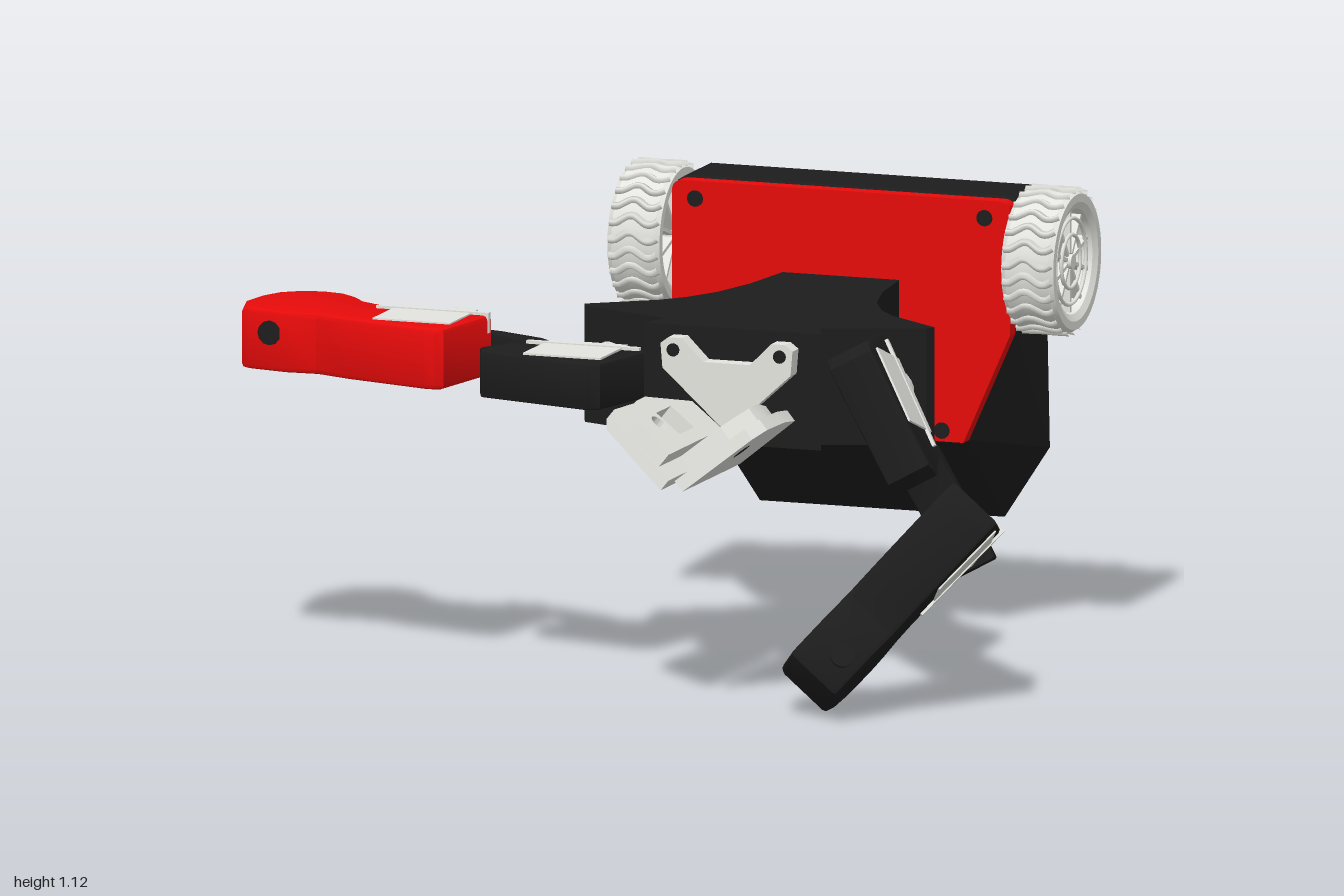
import * as THREE from 'three';
import { toCreasedNormals } from 'three/addons/utils/BufferGeometryUtils.js';
import { ConvexGeometry } from 'three/addons/geometries/ConvexGeometry.js';

const mat = (name, color) => Object.assign(new THREE.MeshStandardMaterial({ color }), { name });
const CX = 0.295; // centre line of the chassis

export function createModel() {
  const black = mat('black plastic', 0x1d1d1d);
  const red = mat('red plastic', 0xee0b0b);
  const grey = mat('light grey', 0xe4e4df);
  const root = new THREE.Group();
  root.name = 'robot';

  function add(parent, name, geo, material, x = 0, y = 0, z = 0) {
    const m = new THREE.Mesh(geo, material);
    m.name = name;
    m.position.set(x, y, z);
    parent.add(m);
    return m;
  }
  const box = (w, h, d) => new THREE.BoxGeometry(w, h, d);
  const disc = (r, len, n = 24) => new THREE.CylinderGeometry(r, r, len, n);
  const hole = (x, y, r) => new THREE.Path().absarc(x, y, r, 0, Math.PI * 2, true);

  // Horizontal slab from an (x, z) outline, rising from y = 0
  function slab(points, height, bevel = 0, holes = []) {
    const shape = new THREE.Shape(points.map(([x, z]) => new THREE.Vector2(x, -z)));
    shape.holes.push(...holes);
    const geo = new THREE.ExtrudeGeometry(shape, {
      depth: height - 2 * bevel, bevelEnabled: bevel > 0, bevelSize: bevel,
      bevelThickness: bevel, bevelOffset: -bevel, bevelSegments: 2, curveSegments: 16,
    });
    geo.translate(0, 0, bevel);
    geo.rotateX(-Math.PI / 2);
    return toCreasedNormals(geo, 0.5);
  }

  // Rear wedge housing
  const pts = [];
  for (const s of [-1, 1]) {
    for (const [dx, y, z] of [[0.435, 1.1, -0.48], [0.435, 0.78, -0.48], [0.315, 0.51, -0.48],
      [0.42, 1.11, -0.5], [0.42, 1.11, -0.67], [0.435, 1.09, -0.68], [0.435, 0.46, -0.715], [0.315, 0.28, -0.725]])
      pts.push(new THREE.Vector3(CX + s * dx, y, z));
  }
  add(root, 'rearHousing', new ConvexGeometry(pts), black);
  for (const x of [-0.12, 0.12]) for (const y of [0.64, 0.88]) {
    const bolt = add(root, 'rearBolt', disc(0.025, 0.006, 16), black, CX + x, y, -0.68 - (1.11 - y) * 0.054);
    bolt.rotation.x = Math.PI / 2;
  }

  // Red front plate with rounded top corners
  const plate = new THREE.Shape();
  plate.moveTo(-0.315, 0.51);
  plate.lineTo(0.315, 0.51);
  plate.lineTo(0.435, 0.78);
  plate.lineTo(0.435, 1.08);
  plate.quadraticCurveTo(0.435, 1.108, 0.405, 1.108);
  plate.lineTo(-0.405, 1.108);
  plate.quadraticCurveTo(-0.435, 1.108, -0.435, 1.08);
  plate.lineTo(-0.435, 0.78);
  add(root, 'frontPlate', new THREE.ExtrudeGeometry(plate, { depth: 0.04, bevelEnabled: false }), red, CX, 0, -0.48);
  for (const [x, y] of [[-0.08, 1.065], [0.665, 1.065], [0.105, 0.537], [0.555, 0.537]])
    add(root, 'plateScrew', disc(0.02, 0.006, 16), black, x, y, -0.439).rotation.x = Math.PI / 2;

  // Flared torso
  const half = [[0.15, -0.44], [0.17, -0.27], [0.205, -0.14], [0.25, -0.05], [0.3, 0.01], [0.45, 0.12],
    [0.44, 0.145], [0.2, 0.235], [0.228, 0.305]];
  const outline = [...half, ...half.map(([x, z]) => [-x, z]).reverse()];
  add(root, 'torso', slab(outline, 0.285), black, CX, 0.614, 0);

  // Wheels with wavy tread and spoked hub
  const tyre = toCreasedNormals(new THREE.LatheGeometry(
    [[0.128, -0.058], [0.145, -0.067], [0.165, -0.067], [0.172, -0.055], [0.172, 0.055], [0.165, 0.067],
      [0.145, 0.067], [0.128, 0.058], [0.128, -0.058]].map(([r, y]) => new THREE.Vector2(r, y)), 60), 0.4);
  const treadCurve = new THREE.CatmullRomCurve3([0, 1, 2, 3, 4, 5, 6, 7, 8].map(i => {
    const a = 0.06 * Math.sin(i * Math.PI / 3);
    return new THREE.Vector3(0.171 * Math.cos(a), -0.062 + i * 0.0155, 0.171 * Math.sin(a));
  }));
  const tread = new THREE.TubeGeometry(treadCurve, 16, 0.01, 4);
  for (const s of [-1, 1]) {
    const wheel = new THREE.Group();
    wheel.name = s > 0 ? 'leftWheel' : 'rightWheel';
    add(wheel, 'tyre', tyre, grey);
    add(wheel, 'wheelDisc', disc(0.13, 0.03, 48), grey);
    for (let i = 0; i < 26; i++) add(wheel, 'tread', tread, grey).rotation.y = i * Math.PI / 13;
    for (let i = 0; i < 10; i++) {
      const a = i * Math.PI / 5;
      add(wheel, 'spoke', box(0.105, 0.1, 0.009), grey, 0.0725 * Math.cos(a), 0, -0.0725 * Math.sin(a)).rotation.y = a;
    }
    for (const r of [0.105, 0.065])
      add(wheel, 'hubRing', new THREE.TorusGeometry(r, 0.005, 6, 40), grey, 0, -s * 0.05, 0).rotation.x = Math.PI / 2;
    add(wheel, 'hub', disc(0.018, 0.115, 16), grey);
    wheel.position.set(CX + s * 0.507, 0.955, -0.532);
    wheel.rotation.z = Math.PI / 2;
    root.add(wheel);
  }

  // Gripper bracket with two ears
  const ear = [[0, 0.65], [0.165, 0.8], [0.17, 0.86], [0.15, 0.875], [0.115, 0.875], [0.06, 0.82]];
  const bracket = new THREE.Shape([...ear, ...ear.slice(1).reverse().map(([x, y]) => [-x, y])]
    .map(p => new THREE.Vector2(...p)));
  add(root, 'gripperBracket', new THREE.ExtrudeGeometry(bracket, { depth: 0.045, bevelEnabled: false }), grey, CX, 0, 0.302);
  for (const s of [-1, 1])
    add(root, 'bracketScrew', disc(0.016, 0.006, 16), black, CX + s * 0.137, 0.845, 0.348).rotation.x = Math.PI / 2;

  // Two tilted jaws forming a V
  const tilt = 0.68, c = Math.cos(tilt);
  for (const s of [-1, 1]) {
    const jaw = new THREE.Group();
    jaw.name = s > 0 ? 'leftJaw' : 'rightJaw';
    const side = list => list.map(([x, z]) => [s * x / c, z]);
    const bore = () => hole(s * 0.128 / c, -0.585, 0.024);
    add(jaw, 'jawPlate', slab(side([[0.028, 0.33], [0.17, 0.33], [0.2, 0.48], [0.207, 0.62], [0.187, 0.67],
      [0.13, 0.69], [0.028, 0.725]]), 0.032, 0, [bore()]), grey);
    const window = new THREE.Path(side([[0.09, 0.45], [0.15, 0.45], [0.15, 0.55], [0.09, 0.55]])
      .map(([x, z]) => new THREE.Vector2(x, -z)));
    add(jaw, 'jawRib', slab(side([[0.062, 0.33], [0.14, 0.33], [0.19, 0.52], [0.19, 0.58], [0.15, 0.67],
      [0.062, 0.7]]), 0.04, 0, [bore(), window]), grey, 0, 0.032, 0);
    jaw.position.set(CX, 0.55, 0);
    jaw.rotation.z = s * tilt;
    root.add(jaw);
  }

  // Servo: case, mounting ears and output horn facing the pivot
  function servo(parent, s, u, w, top) {
    const g = new THREE.Group();
    g.name = 'servo';
    add(g, 'servoCase', box(0.2, 0.1, 0.19), grey, 0, -0.05, 0);
    add(g, 'servoEars', box(0.29, 0.05, 0.014), grey, 0, -0.022, -0.055);
    add(g, 'servoHorn', disc(0.06, 0.03), grey, -s * 0.045, -0.06, -0.115).rotation.x = Math.PI / 2;
    add(g, 'servoShaft', disc(0.035, 0.09), grey, -s * 0.045, -0.06, -0.12).rotation.x = Math.PI / 2;
    g.position.set(s * u, top, w);
    parent.add(g);
  }

  // Arms: outlines are measured outward from each joint
  const upper = [[-0.095, 0.08], [-0.045, 0.28], [-0.015, 0.295], [0.285, 0.22], [0.305, 0.17], [0.235, 0.05],
    [0.335, -0.01], [0.495, -0.05], [0.49, -0.09], [0.325, -0.05], [0.205, 0], [0.15, 0.045], [-0.08, 0.06]];
  const fore = [[0.535, 0.09], [0.525, 0.02], [0.5, -0.04], [0.45, -0.08], [0.395, -0.09], [0.34, -0.08], [0.3, -0.05],
    [0.26, 0], [0.22, 0.022], [0.16, 0.03], [-0.075, 0.04], [-0.09, 0.07], [-0.05, 0.29], [-0.03, 0.3], [0, 0.3],
    [0.22, 0.24], [0.31, 0.205], [0.39, 0.21], [0.49, 0.19], [0.51, 0.18]];
  const up = new THREE.Vector3(0, 1, 0);
  function arm(s, pose, foreMaterial) {
    const axis = new THREE.Vector3(s * 0.24, 0, 0.97).normalize();
    const flip = list => list.map(([u, w]) => [s * u, w]);
    // Swing about the joint axis, then yaw forward
    const turn = (group, angle, yaw) => group.quaternion.setFromAxisAngle(axis, -s * angle)
      .multiply(new THREE.Quaternion().setFromAxisAngle(up, -s * yaw));

    const shoulder = new THREE.Group();
    shoulder.name = s > 0 ? 'leftArm' : 'rightArm';
    shoulder.position.set(CX + s * 0.34, 0.76, 0.15);
    turn(shoulder, pose.shoulder, pose.shoulderYaw);
    add(shoulder, 'upperArm', slab(flip(upper), 0.115, 0.008), black, 0, -0.06, 0);
    servo(shoulder, s, 0.07, 0.14, 0.06);

    const elbow = new THREE.Group();
    elbow.name = 'forearmGroup';
    elbow.position.set(s * 0.415, pose.elbowLift, -0.03);
    turn(elbow, pose.elbow, pose.elbowYaw);
    add(elbow, 'forearm', slab(flip(fore), 0.15, 0.012), foreMaterial, 0, -0.075, 0);
    servo(elbow, s, 0.055, 0.135, 0.079);
    add(elbow, 'handHole', disc(0.03, 0.285, 12), black, s * 0.43, 0.02, 0.065).rotation.x = Math.PI / 2;
    shoulder.add(elbow);
    root.add(shoulder);
  }
  arm(-1, { shoulder: 0, shoulderYaw: 0, elbow: 0, elbowYaw: 0, elbowLift: 0.035 }, red);
  arm(1, { shoulder: 1.08, shoulderYaw: 0.12, elbow: 1.22, elbowYaw: 0.13, elbowLift: -0.02 }, black);

  return root;
}
